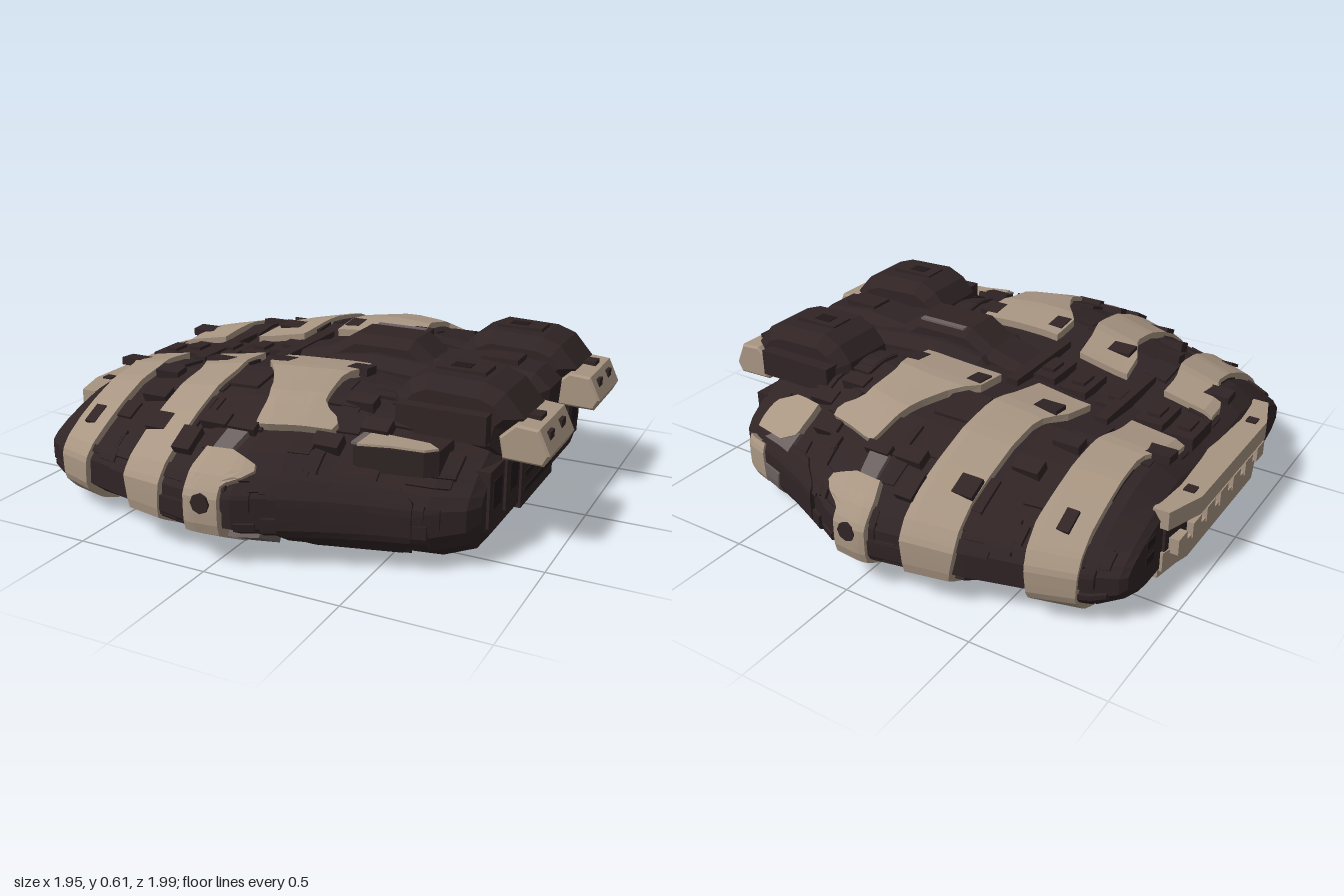
import * as THREE from 'three';

const paint = (name, color) => {
  const m = new THREE.MeshStandardMaterial({ color, flatShading: true, side: THREE.DoubleSide });
  m.name = name;
  return m;
};
const { lerp, clamp } = THREE.MathUtils;

// Hull stations along the length: x, half width, top, bottom, keel half width
const STATIONS = [
  [-0.89, 0.67, 0.33, 0.1, 0.52], [-0.87, 0.695, 0.36, 0.07, 0.54], [-0.79, 0.735, 0.415, 0.02, 0.56],
  [-0.6, 0.81, 0.45, 0.015, 0.57], [-0.4, 0.875, 0.475, 0.015, 0.57], [-0.22, 0.925, 0.51, 0.015, 0.57],
  [-0.05, 0.965, 0.525, 0.015, 0.57], [0.08, 0.955, 0.53, 0.015, 0.57], [0.2, 0.895, 0.53, 0.015, 0.57],
  [0.35, 0.82, 0.51, 0.015, 0.57], [0.5, 0.755, 0.49, 0.015, 0.56], [0.66, 0.7, 0.46, 0.02, 0.54],
  [0.77, 0.635, 0.42, 0.06, 0.52], [0.8, 0.58, 0.38, 0.1, 0.48],
];
// Half cross-section, from the crown round to the keel: width share, height share, keel share
const PROFILE = [[0, 0.93, 0], [0.2, 0.96, 0], [0.4, 1, 0], [0.6, 0.94, 0], [0.75, 0.83, 0], [0.87, 0.72, 0],
  [0.96, 0.6, 0], [1, 0.5, 0], [1, 0.29, 0], [0.56, 0.14, 0.48], [0, 0, 1], [0, 0, 0]];

// Linear lookup in rows sorted by their first number
function lookup(rows, k) {
  let i = 0;
  while (i < rows.length - 2 && k > rows[i + 1][0]) i++;
  const a = rows[i], b = rows[i + 1], f = clamp((k - a[0]) / (b[0] - a[0]), 0, 1);
  return a.map((v, n) => lerp(v, b[n], f));
}
function section(x, t) {
  const [, w, h, b, keel] = lookup(STATIONS, x);
  const c = clamp(t, 0, 11), i = Math.min(10, Math.floor(c));
  const [u, v, k] = PROFILE[i].map((p, n) => lerp(p, PROFILE[i + 1][n], c - i));
  return [w * u + keel * k, b + (h - b) * v];
}
function normalAt(x, t) {
  const a = section(x, t - 0.35), b = section(x, t + 0.35);
  const dz = b[0] - a[0], dy = b[1] - a[1], l = Math.hypot(dz, dy) || 1;
  return [-dy / l, dz / l];
}
function onHull(x, t, side, off = 0) {
  const [z, y] = section(x, t), [nz, ny] = normalAt(x, t);
  return [x, y + ny * off, side * (z + nz * off)];
}

// Faces over a grid of points, rows along x and columns round the section
function gridGeometry(rows, flip) {
  const n = rows[0].length, index = [];
  for (let i = 0; i < rows.length - 1; i++) for (let j = 0; j < n - 1; j++) {
    const a = i * n + j, b = a + 1, c = a + n, d = c + 1;
    index.push(...(flip ? [a, c, b, b, c, d] : [a, b, c, b, d, c]));
  }
  const g = new THREE.BufferGeometry();
  g.setAttribute('position', new THREE.Float32BufferAttribute(rows.flat(2), 3));
  g.setIndex(index);
  g.computeVertexNormals();
  return g;
}

// Armour plate that follows the hull; edges are rows of section position, x start, x end
function plateGeometry(edges, side, off) {
  const t0 = edges[0][0], t1 = edges[edges.length - 1][0];
  const cols = Math.max(2, Math.ceil((t1 - t0) * 4)), n = 6, rows = [];
  for (let i = -1; i <= n + 1; i++) {
    const row = [];
    for (let j = -1; j <= cols + 1; j++) {
      const rim = i < 0 || j < 0 || i > n || j > cols;
      const t = lerp(t0, t1, clamp(j / cols, 0, 1));
      const [, x0, x1] = lookup(edges, t);
      row.push(onHull(lerp(x0, x1, clamp(i / n, 0, 1)), t, side, rim ? -0.008 : off));
    }
    rows.push(row);
  }
  return gridGeometry(rows, side < 0);
}

const outline = points => new THREE.Shape(points.map(p => new THREE.Vector2(...p)));
// Outline in x and y, given thickness along z with bevelled edges
function extrudeZ(points, width, bevel) {
  const g = new THREE.ExtrudeGeometry(outline(points), { depth: width - 2 * bevel, bevelSize: bevel,
    bevelOffset: -bevel, bevelThickness: bevel, bevelSegments: 1 });
  return g.translate(0, 0, -width / 2 + bevel);
}
// Outline in plan (x and -z), given bottom and top
function slab(points, y0, y1) {
  const g = new THREE.ExtrudeGeometry(outline(points), { depth: y1 - y0, bevelEnabled: false });
  return g.rotateX(-Math.PI / 2).translate(0, y0, 0);
}
// Symmetric nose plate from its right half outline
const nosePlate = (half, y0, y1) => slab([...half, ...half.map(([x, z]) => [x, -z]).reverse()], y0, y1);

export function createModel() {
  const group = new THREE.Group();
  const dark = paint('darkHull', 0x302425), tan = paint('tanArmour', 0xa89582);
  const grey = paint('greyMetal', 0x6b6160), black = paint('darkRecess', 0x211819);
  const add = (name, geo, mat, x = 0, y = 0, z = 0) => {
    const m = new THREE.Mesh(geo, mat);
    m.name = name;
    m.position.set(x, y, z);
    group.add(m);
    return m;
  };
  const box = (name, mat, w, h, d, x, y, z) => add(name, new THREE.BoxGeometry(w, h, d), mat, x, y, z);
  const plate = (name, mat, edges, side, off) => add(name, plateGeometry(edges, side, off), mat);
  const fitting = (name, mat, x, t, side, w, h, d, off = 0) => {
    const [nz, ny] = normalAt(x, t);
    box(name, mat, w, h, d, ...onHull(x, t, side, off)).rotation.x = side * Math.atan2(nz, ny);
  };

  // Hull shell with closed nose and tail
  const ring = x => {
    const half = s => PROFILE.map((_, t) => onHull(x, t, s));
    return [...half(1), ...half(-1).reverse()];
  };
  const tip = x => Array(24).fill([x, 0.22, 0]);
  add('hull', gridGeometry([tip(-0.89), ...STATIONS.map(s => ring(s[0])), tip(0.8)], false), dark);

  // Layered dark panels
  let seed = 7;
  const rnd = () => (seed = (seed * 16807) % 2147483647) / 2147483647;
  for (let i = 0; i < 75; i++) {
    const x = lerp(-0.84, 0.62, rnd()), t = lerp(0.7, 8.4, rnd());
    const l = lerp(0.06, 0.17, rnd()), s = lerp(0.4, 1.2, rnd()), off = lerp(0.006, 0.016, rnd());
    for (const side of [1, -1]) plate('hullPanel', dark, [[t, x, x + l], [t + s, x, x + l]], side, off);
  }

  for (const side of [1, -1]) {
    // Tan armour bands
    plate('noseBand', tan, [[0.85, -0.82, -0.62], [1.5, -0.82, -0.62], [2.2, -0.75, -0.59],
      [5, -0.75, -0.58], [7, -0.76, -0.6], [9.6, -0.75, -0.62]], side, 0.026);
    plate('middleBand', tan, [[0.85, -0.46, -0.25], [1.6, -0.44, -0.23], [2.2, -0.38, -0.2],
      [5, -0.37, -0.19], [7, -0.38, -0.2], [9, -0.34, -0.22]], side, 0.026);
    plate('shoulderBand', tan, [[1.1, -0.12, 0.22], [1.8, -0.12, 0.23], [2.3, -0.04, 0.21],
      [2.8, 0.01, 0.22], [3.3, 0.04, 0.23], [3.8, 0.05, 0.31], [4.15, 0.06, 0.3]], side, 0.03);
    plate('flankBand', tan, [[5.1, -0.06, 0.04], [5.5, -0.07, 0.13], [5.9, -0.08, 0.14], [6.4, -0.08, 0.05],
      [8.6, -0.08, 0.05], [9, -0.03, 0.06]], side, 0.028);

    // Grey worn edges
    plate('flankTrim', grey, [[8.3, 0.05, 0.15], [9, 0.06, 0.17]], side, 0.022);
    plate('flankCap', grey, [[4.3, -0.03, 0.05], [5.1, -0.04, 0.03]], side, 0.022);

    // Dark clamps and hatches across the bands
    for (const [x, t, w, d] of [[-0.79, 1.75, 0.1, 0.07], [-0.36, 1.6, 0.11, 0.07], [0.22, 1.55, 0.08, 0.08],
      [-0.08, 1.55, 0.06, 0.08], [-0.32, 4.55, 0.1, 0.08], [-0.16, 5, 0.07, 0.1], [0.02, 4.25, 0.1, 0.04]])
      fitting('bandClamp', dark, x, t, side, w, 0.03, d, 0.018);
    fitting('bandHatch', dark, -0.67, 4.8, side, 0.045, 0.012, 0.085, 0.028);
    add('flankPort', new THREE.CylinderGeometry(0.035, 0.035, 0.012, 8).rotateX(Math.PI / 2), dark,
      ...onHull(-0.01, 7.2, side, 0.028));
    for (const [x, t] of [[-0.46, 3.4], [-0.1, 4.1], [0.33, 2.9], [0.42, 3.7], [0.3, 4.5], [-0.52, 2.4]])
      fitting('deckFitting', dark, x, t, side, 0.1, 0.04, 0.06, 0.008);

    // Long bulge along the rear flank
    plate('rearFlankBulge', dark, [[5.8, 0.3, 0.56], [6.6, 0.22, 0.62], [8, 0.22, 0.62], [8.8, 0.3, 0.58]], side, 0.022);

    // Engine pod with roof details
    const z = side * 0.31;
    add('enginePod', extrudeZ([[0.4, 0.36], [0.42, 0.52], [0.47, 0.58], [0.54, 0.612], [0.74, 0.605],
      [0.81, 0.58], [0.88, 0.5], [0.83, 0.45], [0.81, 0.36]], 0.3, 0.045), dark, 0, 0, z);
    box('podHatch', dark, 0.18, 0.015, 0.1, 0.63, 0.612, z);
    box('podVent', black, 0.07, 0.006, 0.05, 0.62, 0.619, z);
    box('podShoulder', dark, 0.32, 0.1, 0.08, 0.62, 0.47, side * 0.47);
    // Tan engine hood with slots and a dark underside
    add('engineHood', extrudeZ([[0.82, 0.365], [0.805, 0.44], [0.86, 0.492], [0.94, 0.485], [0.98, 0.4], [0.96, 0.36]],
      0.295, 0.008), tan, 0, 0, z);
    box('hoodUnderside', black, 0.12, 0.008, 0.25, 0.89, 0.36, z);
    for (const k of [-0.06, 0.07]) box('hoodSlot', dark, 0.03, 0.03, 0.045, 0.948, 0.45, z + k);
    box('podBracket', dark, 0.08, 0.03, 0.06, 0.88, 0.488, z + side * 0.03);

    // Rear wall bays
    for (const k of [0.29, 0.46]) {
      box('rearBay', dark, 0.05, 0.2, 0.14, 0.785, 0.24, side * k);
      box('rearBayRecess', black, 0.008, 0.1, 0.08, 0.81, 0.25, side * k);
    }

    // Nose side ports
    for (const y of [0.2, 0.26]) box('nosePort', black, 0.02, 0.03, 0.06, -0.885, y, side * 0.52);
  }

  // Rear flank patches: a flat shelf on the left, a wrapped plate on the right
  add('leftRearShelf', slab([[0.41, -0.575], [0.62, -0.59], [0.665, -0.625], [0.63, -0.66], [0.52, -0.67],
    [0.41, -0.7]], 0.425, 0.433), tan);
  add('leftRearShelfBase', slab([[0.4, -0.5], [0.67, -0.5], [0.67, -0.63], [0.63, -0.665], [0.4, -0.705]],
    0.34, 0.425), dark);
  box('leftRearShelfTrim', grey, 0.03, 0.009, 0.1, 0.4, 0.428, 0.64);
  plate('rightRearPatch', tan, [[4.1, 0.41, 0.55], [4.6, 0.41, 0.64], [5.4, 0.42, 0.66], [5.9, 0.5, 0.66]], -1, 0.03);
  plate('rightRearPatchTrim', grey, [[5.3, 0.41, 0.5], [6.2, 0.43, 0.6]], -1, 0.026);
  plate('rightRearCorner', tan, [[6.6, 0.58, 0.69], [8, 0.57, 0.69], [8.4, 0.6, 0.68]], -1, 0.032);
  plate('rightRearCornerTrim', grey, [[7.4, 0.47, 0.57], [8.7, 0.5, 0.62]], -1, 0.03);

  // Centre spine: raised bridge running back to the tail block
  add('bridge', extrudeZ([[-0.2, 0.42], [-0.17, 0.505], [0, 0.55], [0.1, 0.612], [0.34, 0.612], [0.42, 0.55],
    [0.6, 0.57], [0.8, 0.55], [0.86, 0.5], [0.85, 0.37], [0.4, 0.34]], 0.21, 0.035), dark);
  add('bridgeShoulder', extrudeZ([[-0.08, 0.42], [0.02, 0.53], [0.2, 0.555], [0.42, 0.54], [0.78, 0.5], [0.8, 0.38]],
    0.34, 0.04), dark);
  box('bridgeTrim', grey, 0.2, 0.008, 0.025, 0.22, 0.61, -0.085);
  box('tailHatch', dark, 0.14, 0.02, 0.1, 0.66, 0.57, 0);
  for (const x of [-0.78, -0.66, -0.5, -0.35, -0.22]) {
    const y = section(x, 0)[1];
    box('spineBlock', dark, 0.11, 0.05, 0.17, x, y, 0);
    box('spineHatch', dark, 0.05, 0.02, 0.08, x, y + 0.028, 0);
  }
  for (const x of [-0.53, -0.16]) box('crossRib', dark, 0.05, 0.04, 0.4, x, section(x, 1)[1] + 0.005, 0);

  // Rear centre grille
  box('rearGrille', dark, 0.06, 0.26, 0.38, 0.78, 0.21, 0);
  for (const y of [0.14, 0.2, 0.26]) box('grilleSlot', black, 0.008, 0.02, 0.32, 0.81, y, 0);

  // Nose plates: brow, toothed lower guard and the dark window row between them
  add('noseBrow', nosePlate([[-0.86, -0.45], [-0.92, -0.45], [-0.97, -0.3]], 0.275, 0.345), tan);
  add('noseRecess', nosePlate([[-0.85, -0.42], [-0.9, -0.42], [-0.915, -0.3]], 0.12, 0.28), dark);
  add('noseGuard', nosePlate([[-0.84, -0.43], [-0.9, -0.43], [-0.935, -0.3]], 0.09, 0.165), tan);
  add('noseSkirt', nosePlate([[-0.82, -0.42], [-0.88, -0.42], [-0.9, -0.3]], 0.05, 0.09), tan);
  for (let i = -3; i <= 3; i++) box('guardTooth', tan, 0.05, 0.06, 0.07, -0.915, 0.18, i * 0.12);
  for (const s of [1, -1]) box('browPort', dark, 0.04, 0.008, 0.04, -0.92, 0.347, s * 0.28);

  return group;
}
